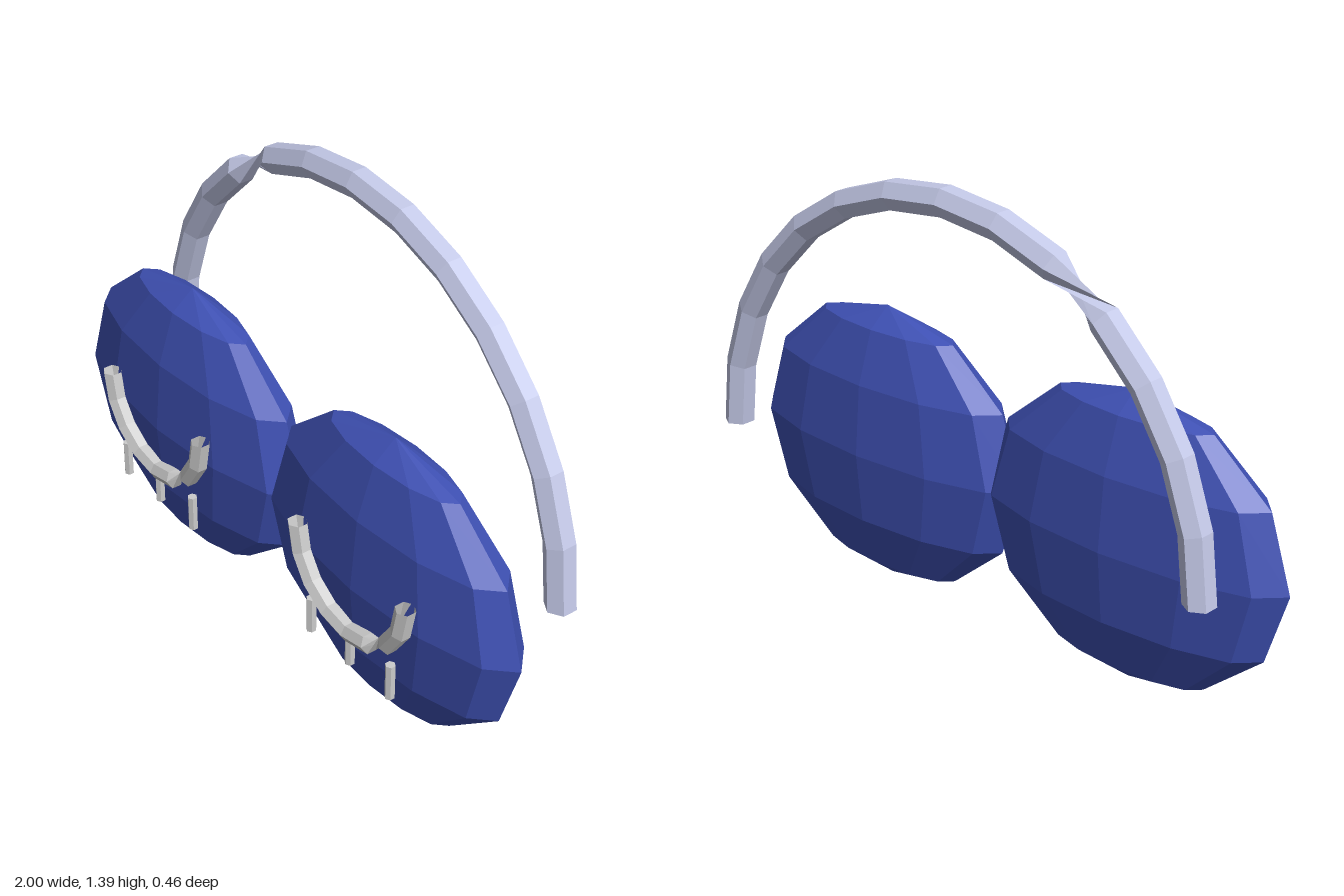
import * as THREE from 'three';

const material = (color, side = THREE.FrontSide) =>
  new THREE.MeshStandardMaterial({ color, flatShading: true, side });

// Open six-sided tube along a half circle, with a half turn in one segment
function twistedArc(radius, tube, start, segments, twistAfter) {
  const sides = 6, positions = [], index = [];
  for (let i = 0; i <= segments; i++) {
    const t = start + (Math.PI * i) / segments;
    for (let j = 0; j < sides; j++) {
      const a = ((j + 0.5) / sides) * Math.PI * 2 + (i > twistAfter ? Math.PI : 0);
      const r = radius + tube * Math.cos(a);
      positions.push(r * Math.cos(t), r * Math.sin(t), tube * Math.sin(a));
      if (i === segments) continue;
      const p = i * sides + j, q = i * sides + ((j + 1) % sides);
      index.push(p, p + sides, q, q, p + sides, q + sides);
    }
  }
  const geometry = new THREE.BufferGeometry();
  geometry.setAttribute('position', new THREE.Float32BufferAttribute(positions, 3));
  geometry.setIndex(index);
  geometry.computeVertexNormals();
  return geometry;
}

export function createModel() {
  const model = new THREE.Group();
  model.name = 'sleepMask';
  const padMaterial = material(0x3f51b5);
  const strapMaterial = material(0xc5cae9, THREE.DoubleSide);
  const lidMaterial = material(0xcccccc, THREE.DoubleSide);

  const add = (parent, name, geometry, mat, x, y, z) => {
    const mesh = new THREE.Mesh(geometry, mat);
    mesh.name = name;
    mesh.position.set(x, y, z);
    parent.add(mesh);
    return mesh;
  };

  // Head strap arching behind the pads
  add(model, 'headStrap', twistedArc(0.885, 0.046, 0, 14, 9), strapMaterial, 0, 0.47, -0.182);

  const padGeometry = new THREE.SphereGeometry(1, 12, 6).scale(0.53, 0.44, 0.145);
  const lidGeometry = twistedArc(0.235, 0.03, Math.PI, 8, 5);
  const lashGeometry = new THREE.CylinderGeometry(0.015, 0.015, 0.115, 6);

  // Two eye pads, each with a closed eyelid and three lashes
  for (const [side, x] of [['left', 0.47], ['right', -0.47]]) {
    const eye = new THREE.Group();
    eye.name = side + 'Eye';
    eye.position.x = x;
    add(eye, 'eyePad', padGeometry, padMaterial, 0, 0.442, 0.055);
    add(eye, 'eyelid', lidGeometry, lidMaterial, 0, 0.53, 0.201);
    for (const lashX of [-0.176, 0, 0.176]) {
      add(eye, 'eyelash', lashGeometry, lidMaterial, lashX, 0.238, 0.197);
    }
    model.add(eye);
  }
  return model;
}
